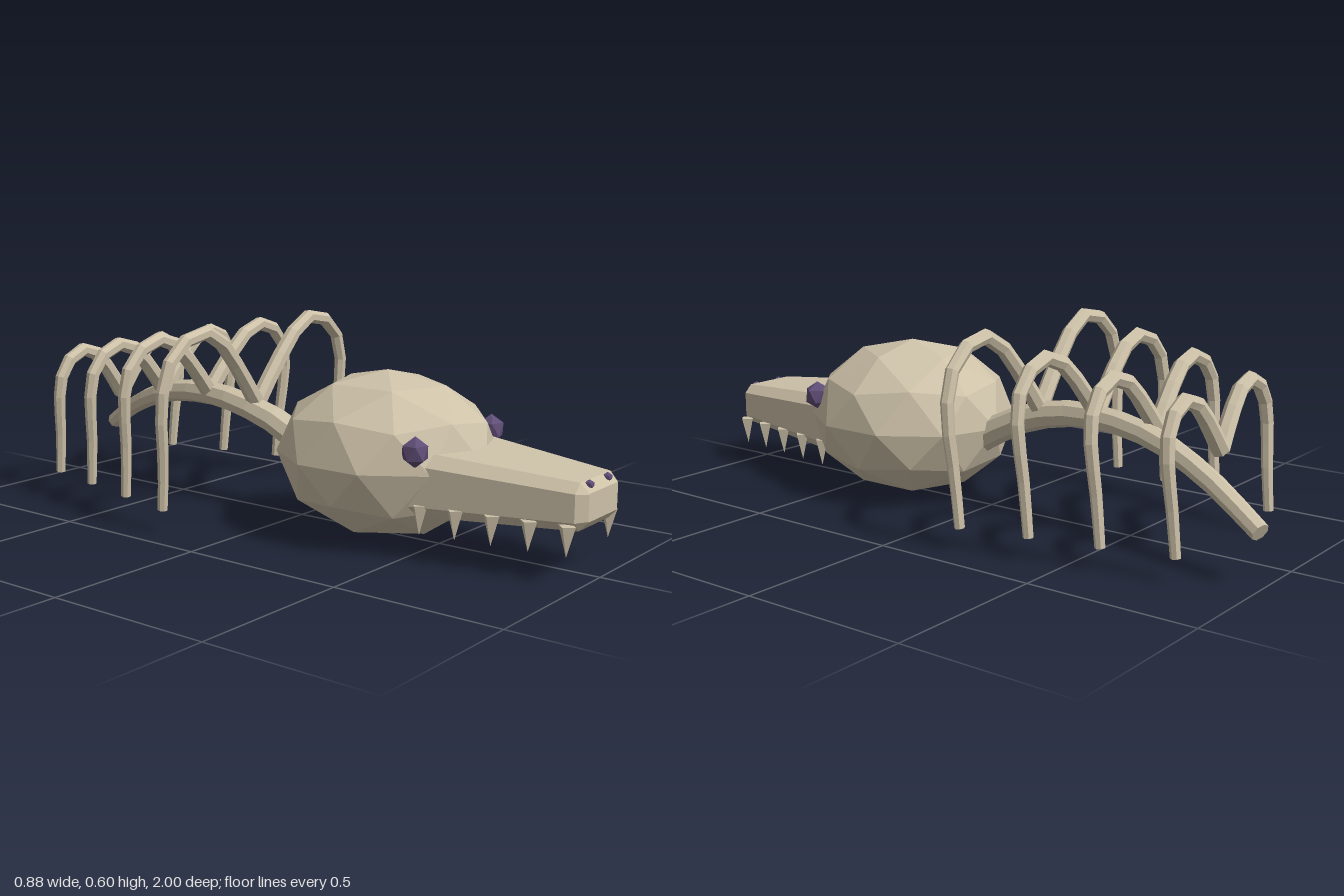
import * as THREE from 'three';

const bone = new THREE.MeshStandardMaterial({ color: 0xcdc1a8, flatShading: true });
bone.name = 'bone';
const purple = new THREE.MeshStandardMaterial({ color: 0x5f4d76, flatShading: true });
purple.name = 'dark purple';

const V = (x, y, z) => new THREE.Vector3(x, y, z);

// Skin a list of equal rings (counter-clockwise about the direction of travel) and cap both ends
function loft(rings) {
  const pos = [];
  const tri = (...pts) => pts.forEach((p) => pos.push(p.x, p.y, p.z));
  const n = rings[0].length;
  const centre = (r) => r.reduce((s, p) => s.add(p), V(0, 0, 0)).divideScalar(n);
  const last = rings[rings.length - 1];
  const c0 = centre(rings[0]), c1 = centre(last);
  for (let i = 0; i < n; i++) {
    const k = (i + 1) % n;
    for (let j = 1; j < rings.length; j++) {
      const a = rings[j - 1], b = rings[j];
      tri(a[i], a[k], b[i]);
      tri(b[i], a[k], b[k]);
    }
    tri(c0, rings[0][k], rings[0][i]);
    tri(c1, last[i], last[k]);
  }
  const g = new THREE.BufferGeometry();
  g.setAttribute('position', new THREE.Float32BufferAttribute(pos, 3));
  g.computeVertexNormals();
  return g;
}

// Capped tube along a curve, narrowing from r0 to r1
function taperedTube(points, steps, sides, r0, r1) {
  const curve = new THREE.CatmullRomCurve3(points);
  const f = curve.computeFrenetFrames(steps);
  const rings = [];
  for (let j = 0; j <= steps; j++) {
    const c = curve.getPointAt(j / steps);
    const r = r0 + (r1 - r0) * j / steps;
    rings.push(Array.from({ length: sides }, (_, i) => {
      const a = i / sides * Math.PI * 2;
      return c.clone()
        .addScaledVector(f.normals[j], r * Math.cos(a))
        .addScaledVector(f.binormals[j], r * Math.sin(a));
    }));
  }
  return loft(rings);
}

// Faceted ball with a vertex at its top and bottom
function ball(detail, rx, ry, rz) {
  return new THREE.IcosahedronGeometry(1, detail)
    .rotateX(-Math.atan((1 + Math.sqrt(5)) / 2))
    .rotateY(Math.PI / 2)
    .scale(rx, ry, rz);
}

// Chamfered rectangle across the snout
function snoutRing(z, w, y0, y1, c) {
  return [[w, y0 + c], [w, y1 - c], [w - c, y1], [c - w, y1],
    [-w, y1 - c], [-w, y0 + c], [c - w, y0], [w - c, y0]].map(([x, y]) => V(x, y, z));
}

export function createModel() {
  const model = new THREE.Group();
  model.name = 'skeletonBeast';
  const add = (name, geometry, material, x = 0, y = 0, z = 0) => {
    const m = new THREE.Mesh(geometry, material);
    m.name = name;
    m.position.set(x, y, z);
    model.add(m);
    return m;
  };

  add('head', ball(1, 0.305, 0.2425, 0.332), bone, 0, 0.2455, 0.315);

  add('snout', loft([
    snoutRing(0.45, 0.205, 0.118, 0.31, 0.035),
    snoutRing(0.975, 0.112, 0.143, 0.272, 0.026),
    snoutRing(1, 0.083, 0.17, 0.246, 0.002),
  ]), bone);

  // Eyes, nostrils and teeth on both sides
  for (const s of [1, -1]) {
    const side = s > 0 ? 'left' : 'right';
    add(side + 'Eye', ball(0, 0.042, 0.044, 0.04), purple, s * 0.198, 0.311, 0.543);
    add(side + 'Nostril', ball(0, 0.016, 0.013, 0.014), purple, s * 0.052, 0.263, 0.984);
    for (let i = 0; i < 5; i++) {
      const tooth = new THREE.ConeGeometry(0.025, 0.085, 4).rotateX(Math.PI);
      add(side + 'Tooth' + (i + 1), tooth, bone, s * (0.12 + 0.015 * i), 0.12, 0.96 - 0.103 * i);
    }
  }

  // Arched backbone, bending to one side at the tail
  add('spine', taperedTube([
    V(0, 0.2, 0.06), V(-0.005, 0.285, -0.1), V(-0.003, 0.326, -0.25), V(0.015, 0.338, -0.4),
    V(0.05, 0.315, -0.6), V(0.105, 0.247, -0.8), V(0.163, 0.15, -0.985),
  ], 12, 8, 0.046, 0.027), bone);

  // Rib outline: sideways reach, and height relative to the root (1 = peak, -1 = foot)
  const outline = [[0, 0], [0.1, 0.52], [0.18, 0.86], [0.25, 1], [0.32, 0.95],
    [0.392, 0.72], [0.425, 0.32], [0.41, -0.5], [0.405, -1]];
  const ribs = [[1, 0.33, 0.58], [0.885, 0.345, 0.54], [0.77, 0.33, 0.505], [0.65, 0.3, 0.466]];
  ribs.forEach(([reach, root, peak], i) => {
    for (const s of [1, -1]) {
      const pts = outline.map(([x, h]) => {
        const y = root + h * (h > 0 ? peak - root : root - 0.07);
        const z = -0.178 - 0.2 * i + (h > 0 ? 0.012 : 0.022) * h;
        return V(s * x * reach, y, z);
      });
      add((s > 0 ? 'left' : 'right') + 'Rib' + (i + 1), taperedTube(pts, 11, 7, 0.027, 0.015), bone);
    }
  });

  return model;
}
